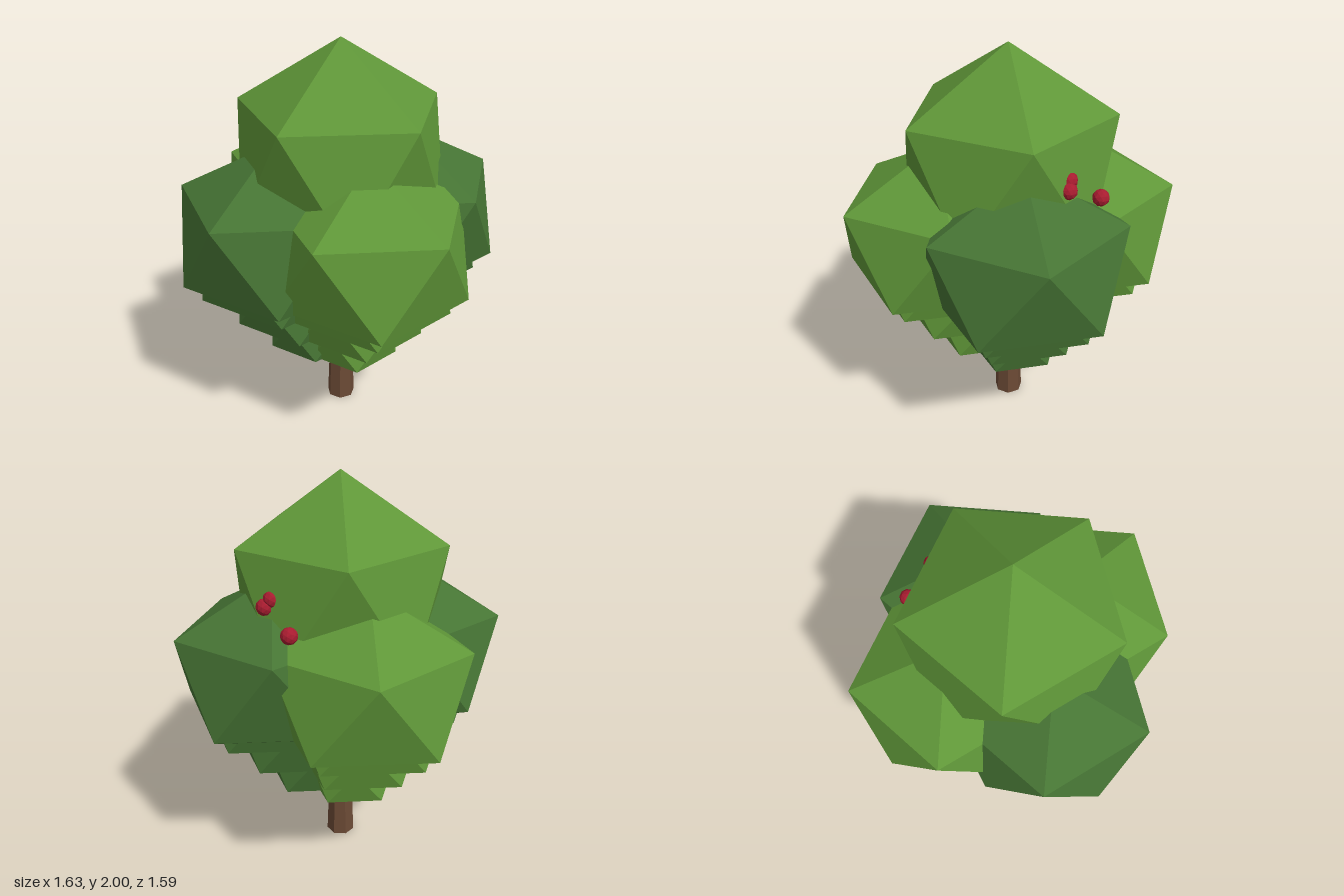
import * as THREE from 'three';
import { ConvexGeometry } from 'three/addons/geometries/ConvexGeometry.js';

const material = (name, color) => {
  const m = new THREE.MeshStandardMaterial({ color, flatShading: true });
  m.name = name;
  return m;
};

// Twenty-sided leaf clump standing on a corner, with one upper corner towards +x
function clumpGeometry(radius, height) {
  const points = [new THREE.Vector3(0, height, 0), new THREE.Vector3(0, -height, 0)];
  const ringRadius = radius * 2 / Math.sqrt(5);
  const ringHeight = height / Math.sqrt(5);
  for (let i = 0; i < 10; i++) {
    const a = i * Math.PI / 5;
    points.push(new THREE.Vector3(
      Math.cos(a) * ringRadius, i % 2 ? -ringHeight : ringHeight, Math.sin(a) * ringRadius));
  }
  return new ConvexGeometry(points);
}

export function createModel() {
  const tree = new THREE.Group();
  tree.name = 'tree';

  const lightLeaf = material('light leaf green', 0x5f9638);
  const darkLeaf = material('dark leaf green', 0x467434);
  const bark = material('bark brown', 0x6b4a35);
  const red = material('berry red', 0xa81c30);

  const add = (parent, name, geometry, mat, x, y, z) => {
    const mesh = new THREE.Mesh(geometry, mat);
    mesh.name = name;
    mesh.position.set(x, y, z);
    parent.add(mesh);
  };

  // Seven-sided tapering trunk
  add(tree, 'trunk', new THREE.CylinderGeometry(0.052, 0.075, 0.6, 7, 1, false, Math.PI), bark, 0, 0.3, 0);

  // Crown: four tiers of four clumps, growing upwards
  const tiers = [
    { y: 0.513, offset: 0.16, radius: 0.258, height: 0.208 },
    { y: 0.73, offset: 0.245, radius: 0.35, height: 0.28 },
    { y: 0.953, offset: 0.33, radius: 0.45, height: 0.365 },
    { y: 1.0875, offset: 0.34, radius: 0.532, height: 0.453 },
  ];
  const sides = [['left', 1, 0], ['right', -1, 0], ['front', 0, 1], ['back', 0, -1]];
  tiers.forEach(({ y, offset, radius, height }, i) => {
    const tier = new THREE.Group();
    tier.name = `leafTier${i + 1}`;
    const geometry = clumpGeometry(radius, height);
    for (const [side, x, z] of sides) {
      add(tier, `${side}Clump`, geometry, x ? darkLeaf : lightLeaf, x * offset, y, z * offset);
    }
    tree.add(tier);
  });

  // Single clump on top
  add(tree, 'topClump', clumpGeometry(0.57, 0.57), lightLeaf, 0, 1.43, 0);

  // Berries nestled beside the top clump
  const berries = new THREE.Group();
  berries.name = 'berries';
  const berry = new THREE.IcosahedronGeometry(0.04, 1);
  for (const [x, y, z] of [[0.375, 1.385, -0.345], [0.432, 1.465, -0.177], [0.4, 1.5, -0.185]]) {
    add(berries, 'berry', berry, red, x, y, z);
  }
  tree.add(berries);

  return tree;
}
